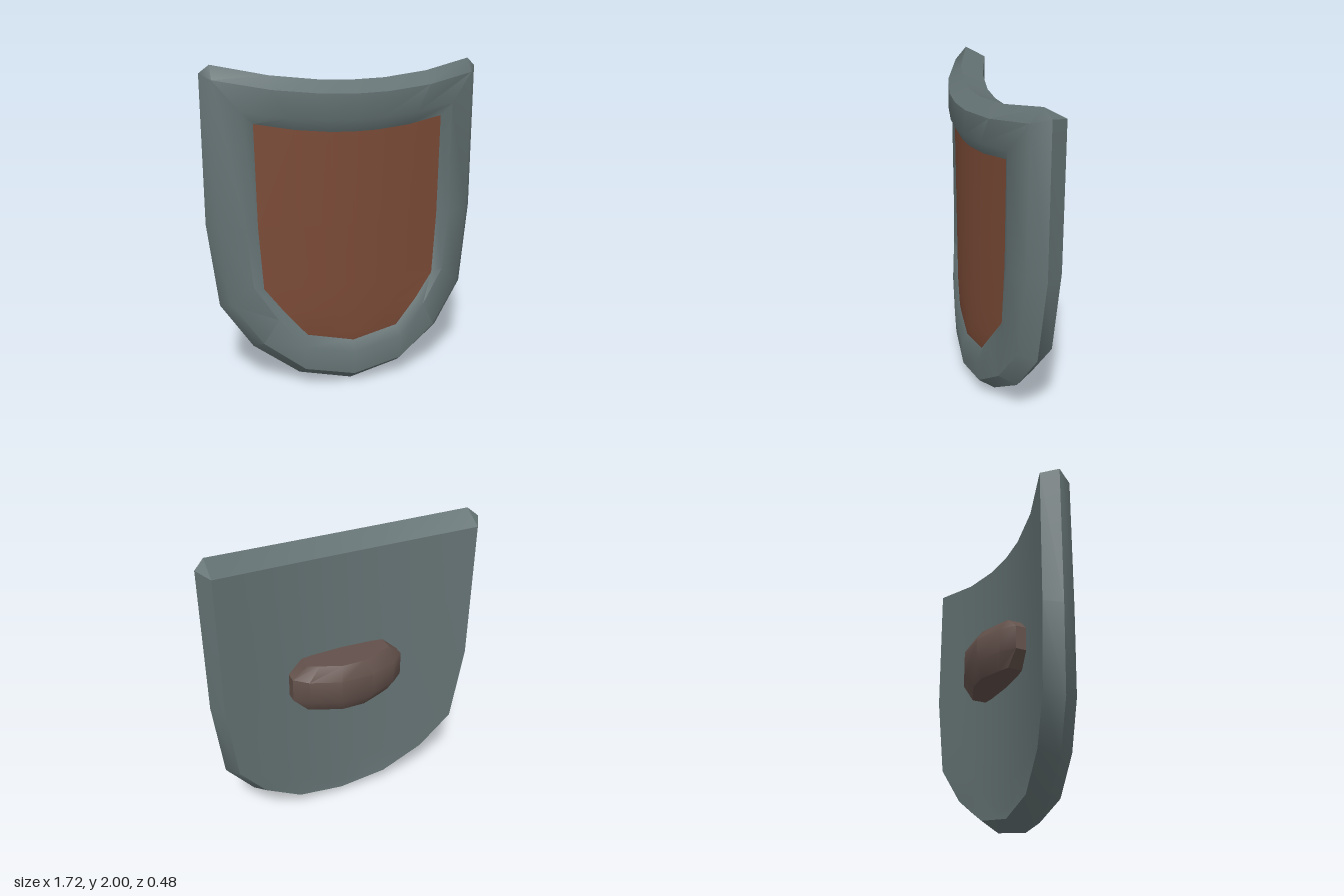
import * as THREE from 'three';
import { toCreasedNormals } from 'three/addons/utils/BufferGeometryUtils.js';

const CREASE = 0.7;
// Fractions of the half width used along the sagging top edge and across the sheets
const TOP = [1, 0.6, 0.25, 0];
const ACROSS = [-1, -0.6, -0.25, 0, 0.25, 0.6, 1];

const steel = new THREE.MeshStandardMaterial({ color: 0x647273 });
steel.name = 'greySteel';
const leather = new THREE.MeshStandardMaterial({ color: 0x7a4a36 });
leather.name = 'redBrownPanel';
const grip = new THREE.MeshStandardMaterial({ color: 0x62504a });
grip.name = 'darkBrownGrip';

// Bowed surfaces: depth falls with x, and the front leans back near the bottom tip
const lean = (y) => 0.05 * Math.max(0, 0.5 - y);
const bow = (z0, k, tilt = 1) => (x, y) => z0 - k * x * x - tilt * lean(y);
const frontZ = bow(0.24, 0.3);
const midZ = bow(0.15, 0.27);
const backZ = bow(0, 0.235, 0);
const panelZ = bow(0.2, 0.29);

// Half outlines from bottom tip up the side to the shoulder, top corner, and sag of the top edge
const back = { z: backZ, sag: 0.08, corner: [0.8, 1.93],
  side: [[0, 0.07], [0.31, 0.13], [0.56, 0.31], [0.74, 0.56], [0.8, 1.07], [0.8, 1.93]] };
const front = { ...back, z: frontZ, corner: [0.8, 1.92], side: [...back.side.slice(0, 5), [0.8, 1.92]] };
const outer = { z: midZ, sag: 0.09, corner: [0.8, 2],
  side: [[0, 0], [0.33, 0.07], [0.61, 0.26], [0.8, 0.53], [0.86, 1.05], [0.86, 1.95]] };
const lip = { z: frontZ, sag: 0.05, corner: [0.65, 1.74],
  side: [[0, 0.22], [0.31, 0.28], [0.47, 0.47], [0.61, 0.68], [0.645, 1.05], [0.65, 1.74]] };
const recess = { z: panelZ, sag: 0.055, corner: [0.58, 1.67],
  side: [[0, 0.29], [0.29, 0.35], [0.425, 0.505], [0.545, 0.66], [0.57, 1.05], [0.58, 1.67]] };

// Closed ring of points, counter-clockwise from the bottom tip
function ring({ z, sag, corner, side }) {
  const top = TOP.map((t) => [corner[0] * t, corner[1] - sag * (1 - t * t)]);
  const half = [...side, ...top];
  const mirrored = half.slice(1, -1).reverse().map(([x, y]) => [-x, y]);
  return [...half, ...mirrored].map(([x, y]) => new THREE.Vector3(x, y, z(x, y)));
}

// Rows of points stretched across an outline, from bottom to top
function rows({ z, sag, side }) {
  return side.map(([w, y], i) => ACROSS.map((t) => {
    const h = i === side.length - 1 ? y - sag * (1 - t * t) : y;
    return new THREE.Vector3(w * t, h, z(w * t, h));
  }));
}

// Join neighbouring point rows with quads, skipping collapsed triangles
function skin(lines, { closed = false, flip = false, caps = false } = {}) {
  const pos = [];
  const tri = (a, b, c) => {
    if (new THREE.Triangle(a, b, c).getArea() < 1e-7) return;
    for (const p of flip ? [a, c, b] : [a, b, c]) pos.push(p.x, p.y, p.z);
  };
  for (let r = 0; r < lines.length - 1; r++) {
    const n = lines[r].length;
    for (let i = 0; i < (closed ? n : n - 1); i++) {
      const j = (i + 1) % n;
      const [a, b, c, d] = [lines[r][i], lines[r][j], lines[r + 1][j], lines[r + 1][i]];
      tri(a, b, c);
      tri(a, c, d);
    }
  }
  if (caps) {
    const lo = lines[0], hi = lines[lines.length - 1];
    for (let i = 1; i < lo.length - 1; i++) {
      tri(lo[0], lo[i + 1], lo[i]);
      tri(hi[0], hi[i], hi[i + 1]);
    }
  }
  const g = new THREE.BufferGeometry();
  g.setAttribute('position', new THREE.Float32BufferAttribute(pos, 3));
  return toCreasedNormals(g, CREASE);
}

export function createModel() {
  const group = new THREE.Group();
  group.name = 'shield';
  const add = (name, geometry, material) => {
    const mesh = new THREE.Mesh(geometry, material);
    mesh.name = name;
    group.add(mesh);
  };

  // Bevelled rim: back edge, ridge, front edge, inner lip, recess
  add('rim', skin([back, outer, front, lip, recess].map(ring), { closed: true }), steel);

  // Curved back plate and recessed front panel
  add('backPlate', skin(rows(back), { flip: true }), steel);
  add('frontPanel', skin(rows(recess)), leather);

  // Grip: stacked horizontal sections, narrower at top and bottom
  const wide = [[0.36, 0.03], [0.36, -0.1], [0.28, -0.17], [0.1, -0.24]];
  const narrow = [[0.27, 0.03], [0.27, -0.11], [0.2, -0.14], [0.07, -0.19]];
  const section = (half, y) => [...half, ...half.slice().reverse().map(([x, z]) => [-x, z])]
    .map(([x, z]) => new THREE.Vector3(x, y, z));
  const sections = [section(narrow, 0.9), section(wide, 0.99), section(wide, 1.14), section(narrow, 1.22)];
  add('handGrip', skin(sections, { closed: true, caps: true }), grip);

  return group;
}
